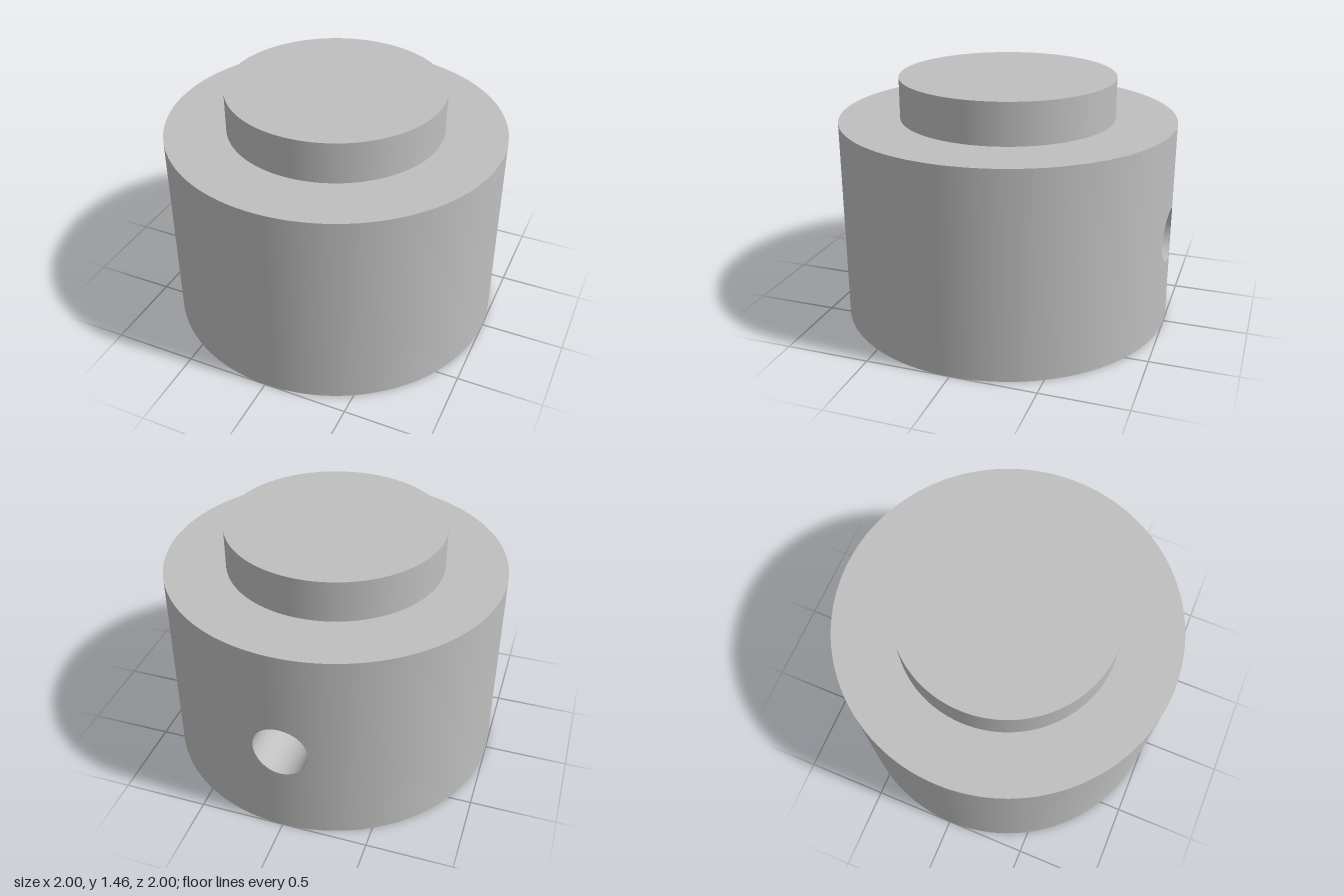
import * as THREE from 'three';
import { ParametricGeometry } from 'three/addons/geometries/ParametricGeometry.js';

const R = 1, H = 1.215;              // body
const BOSS_R = 0.64, TOP = 1.46;     // raised boss
const HOLE_Y = 0.57, HOLE_R = 0.16;  // radial bore in the back
const BORE_END = -0.1;               // z where the blind bore stops
const PATCH = 0.3;                   // half width of the wall patch around the bore

const backZ = (x) => -Math.sqrt(R * R - x * x);
const clamp1 = (v) => Math.max(-1, Math.min(1, v));

export function createModel() {
  const group = new THREE.Group();
  const grey = new THREE.MeshStandardMaterial({ color: 0xbfbfbf });
  grey.name = 'plain grey';

  const add = (name, geometry, y = 0, z = 0) => {
    const mesh = new THREE.Mesh(geometry, grey);
    mesh.name = name;
    mesh.position.set(0, y, z);
    group.add(mesh);
  };

  // Body wall, left open at the back for the bored patch
  const gap = Math.asin(PATCH / R);
  add('bodyWall', new THREE.CylinderGeometry(R, R, H, 128, 1, true,
    Math.PI + gap, 2 * Math.PI - 2 * gap), H / 2);

  // Wall patch: blends from the round hole rim to a rectangle, bent onto the cylinder
  const patch = new ParametricGeometry((u, v, p) => {
    const t = u * Math.PI * 2, c = Math.cos(t), s = Math.sin(t);
    const ox = PATCH * clamp1(c * Math.SQRT2);
    const sy = clamp1(s * Math.SQRT2);
    const oy = HOLE_Y + sy * (sy > 0 ? H - HOLE_Y : HOLE_Y);
    const x = THREE.MathUtils.lerp(HOLE_R * c, ox, v);
    const y = THREE.MathUtils.lerp(HOLE_Y + HOLE_R * s, oy, v);
    p.set(x, y, backZ(x));
  }, 64, 10);
  const pos = patch.attributes.position, nor = patch.attributes.normal;
  for (let i = 0; i < pos.count; i++) nor.setXYZ(i, pos.getX(i) / R, 0, pos.getZ(i) / R);
  add('boredWallPatch', patch);

  // Bore lining, from its blind end out to the curved rim
  add('boreLining', new ParametricGeometry((u, v, p) => {
    const t = u * Math.PI * 2;
    const x = HOLE_R * Math.cos(t);
    p.set(x, HOLE_Y + HOLE_R * Math.sin(t), THREE.MathUtils.lerp(BORE_END, backZ(x), v));
  }, 64, 4));
  add('boreEnd', new THREE.CircleGeometry(HOLE_R, 64).rotateY(Math.PI), HOLE_Y, BORE_END);

  // Flat faces and the raised boss
  add('bodyBottom', new THREE.CircleGeometry(R, 128).rotateX(Math.PI / 2));
  add('bodyShoulder', new THREE.RingGeometry(BOSS_R, R, 128).rotateX(-Math.PI / 2), H);
  add('bossWall', new THREE.CylinderGeometry(BOSS_R, BOSS_R, TOP - H, 128, 1, true), (H + TOP) / 2);
  add('bossTop', new THREE.CircleGeometry(BOSS_R, 128).rotateX(-Math.PI / 2), TOP);

  return group;
}
